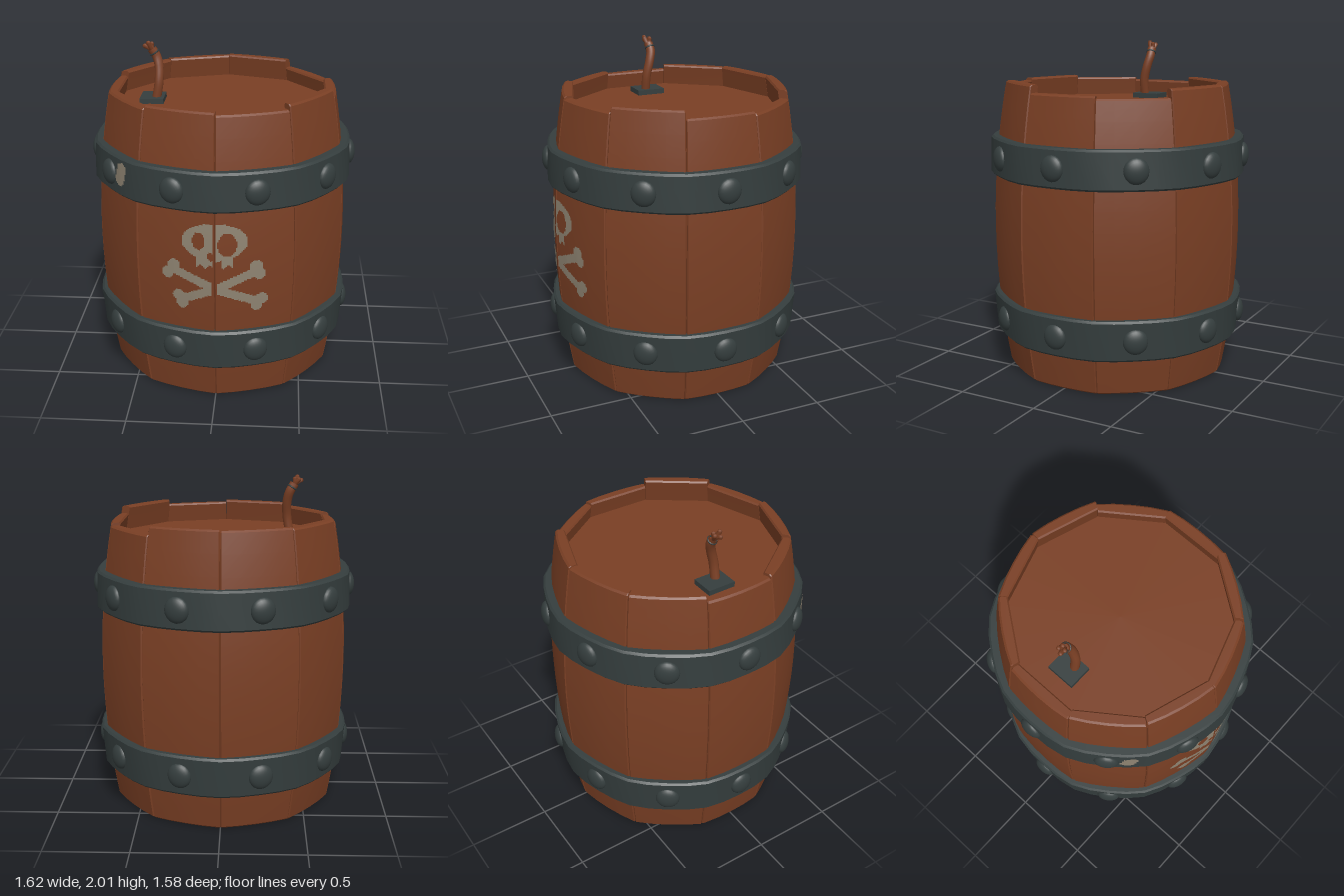
import * as THREE from 'three';
import { toCreasedNormals } from 'three/addons/utils/BufferGeometryUtils.js';

const mat = (name, color, side = THREE.FrontSide) => {
  const m = new THREE.MeshStandardMaterial({ color, side });
  m.name = name;
  return m;
};
const wood = mat('brown wood', 0x7a3f24);
const metal = mat('dark iron', 0x353e3e);
const paint = mat('faded paint', 0x8f8472, THREE.DoubleSide);

const DEG = Math.PI / 180, STEP = 36 * DEG;
// radius factors every 9 degrees, starting at a plank joint
const STAVE = [1.026, 1.007, 1, 1.007];
const HOOP = [1.015, 1.006, 1, 1.006];
// bulging barrel radius at the middle of a stave
const radius = (y) => 0.754 - 0.08 * ((y - 0.88) / 0.88) ** 2;

function build(positions, index) {
  const g = new THREE.BufferGeometry();
  g.setAttribute('position', new THREE.Float32BufferAttribute(positions, 3));
  g.setIndex(index);
  return toCreasedNormals(g.toNonIndexed(), 0.5);
}

// one curved plank with bevelled edges, lofted from bottom to top
function staveGeometry(center, top) {
  const A = 17.9 * DEG, B = 17.4 * DEG, Q = 9 * DEG, bevel = 0.01, pos = [], idx = [];
  const rows = [[0, bevel], [bevel, 0]];
  for (let i = 1; i < 14; i++) rows.push([top * i / 14, 0]);
  rows.push([top - bevel, 0], [top, bevel]);
  for (const [y, inset] of rows) {
    const R = radius(y) - inset, inner = (radius(y) - 0.07 + inset) / Math.cos(A);
    const loop = [
      [inner, -A], [R * 1.015, -A], [R * 1.024, -B], [R * STAVE[1], -Q], [R, 0],
      [R * STAVE[1], Q], [R * 1.024, B], [R * 1.015, A], [inner, A],
    ];
    for (const [r, a] of loop) pos.push(r * Math.sin(a + center), y, r * Math.cos(a + center));
  }
  const n = 9, last = (rows.length - 1) * n;
  for (let i = 0; i < rows.length - 1; i++) {
    for (let j = 0; j < n; j++) {
      const a = i * n + j, b = i * n + (j + 1) % n;
      idx.push(a, b, b + n, a, b + n, a + n);
    }
  }
  for (let j = 1; j < n - 1; j++) idx.push(0, j + 1, j, last, last + j, last + j + 1);
  return build(pos, idx);
}

// hoop that bulges out over the plank joints
function hoopGeometry(y0, y1, r0, r1) {
  const b = 0.012;
  const profile = [[r0 - 0.06, y0], [r0 - b, y0], [r0, y0 + b], [r1, y1 - b], [r1 - b, y1], [r1 - 0.06, y1]];
  const g = new THREE.LatheGeometry(profile.map(([r, y]) => new THREE.Vector2(r, y)), 40);
  const p = g.attributes.position;
  for (let i = 0; i < p.count; i++) {
    const s = HOOP[Math.floor(i / profile.length) % 4];
    p.setXYZ(i, p.getX(i) * s, p.getY(i), p.getZ(i) * s);
  }
  g.deleteAttribute('normal');
  g.deleteAttribute('uv');
  return toCreasedNormals(g.toNonIndexed(), 0.5);
}

// front surface depth at x on a ring with the given radius factors
function facetZ(x, r, factors) {
  const pt = (k) => [r * factors[k % 4] * Math.sin(k * 9 * DEG), r * factors[k % 4] * Math.cos(k * 9 * DEG)];
  const ax = Math.abs(x);
  let k = 0;
  while (k < 8 && pt(k + 1)[0] < ax) k++;
  const [x0, z0] = pt(k), [x1, z1] = pt(k + 1);
  return z0 + (z1 - z0) * (ax - x0) / (x1 - x0);
}

// painted mark: small cells laid on the surface wherever the test holds
function paintGeometry([x0, x1, y0, y1], inside, depth) {
  const s = 0.008, pos = [], idx = [];
  for (let y = y0; y < y1; y += s) {
    for (let x = x0; x < x1; x += s) {
      if (!inside(x + s / 2, y + s / 2)) continue;
      const n = pos.length / 3;
      for (const [px, py] of [[x, y], [x + s, y], [x + s, y + s], [x, y + s]]) pos.push(px, py, depth(px, py));
      idx.push(n, n + 1, n + 2, n, n + 2, n + 3);
    }
  }
  return build(pos, idx);
}

const oval = (x, y, cx, cy, rx, ry) => ((x - cx) / rx) ** 2 + ((y - cy) / ry) ** 2 < 1;
function capsule(x, y, ax, ay, bx, by, r) {
  const dx = bx - ax, dy = by - ay;
  const t = THREE.MathUtils.clamp(((x - ax) * dx + (y - ay) * dy) / (dx * dx + dy * dy), 0, 1);
  return Math.hypot(x - ax - t * dx, y - ay - t * dy) < r;
}

function skullAndBones(x, y) {
  if (Math.abs(x) < 0.009) return false;
  const hole = oval(x, y, -0.09, 1.045, 0.036, 0.052) || oval(x, y, 0.072, 1.025, 0.054, 0.07)
    || oval(x, y, -0.022, 0.955, 0.018, 0.026);
  const head = oval(x, y, 0, 1.04, 0.187, 0.112);
  const jaw = (x < 0 ? x > -0.105 : x > 0.04 && x < 0.105)
    && y > 0.88 + 0.02 * Math.abs(Math.sin(x * 60)) && y < 1;
  if ((head || jaw) && !hole) return true;
  const shafts = Math.abs(x) > 0.016
    && (capsule(x, y, -0.23, 0.85, 0.24, 0.66, 0.027) || capsule(x, y, 0.23, 0.85, -0.19, 0.67, 0.027));
  const knobs = [[-0.235, 0.88], [-0.272, 0.825], [0.235, 0.885], [0.255, 0.835],
    [-0.208, 0.69], [-0.188, 0.645], [0.24, 0.635], [0.268, 0.672]];
  return shafts || knobs.some(([cx, cy]) => Math.hypot(x - cx, y - cy) < 0.036);
}

export function createModel() {
  const model = new THREE.Group();
  model.name = 'barrel';
  const add = (name, geometry, material, parent = model) => {
    const m = new THREE.Mesh(geometry, material);
    m.name = name;
    parent.add(m);
    return m;
  };
  const group = (name) => {
    const g = new THREE.Group();
    g.name = name;
    model.add(g);
    return g;
  };

  // planks of uneven height
  const staves = group('staves');
  [1.755, 1.785, 1.74, 1.725, 1.775, 1.77, 1.765, 1.735, 1.75, 1.768].forEach((top, k) =>
    add('stave', staveGeometry((k + 0.5) * STEP, top), wood, staves));

  // recessed lid and base
  add('lid', new THREE.CylinderGeometry(0.66, 0.66, 0.04, 20), wood).position.y = 1.618;
  add('base', new THREE.CylinderGeometry(0.66, 0.66, 0.04, 20), wood).position.y = 0.125;

  // hoops with domed studs
  const hoops = group('hoops');
  const dome = new THREE.SphereGeometry(1, 20, 8, 0, Math.PI * 2, 0, Math.PI / 2).rotateX(Math.PI / 2).scale(0.073, 0.077, 0.038);
  for (const [name, y0, y1, r0, r1, studY] of [
    ['lowerHoop', 0.226, 0.474, 0.758, 0.776, 0.351],
    ['upperHoop', 1.222, 1.455, 0.78, 0.773, 1.338],
  ]) {
    add(name, hoopGeometry(y0, y1, r0, r1), metal, hoops);
    const r = (r0 + r1) / 2 - 0.004;
    for (let k = 0; k < 10; k++) {
      const a = (k + 0.5) * STEP;
      const stud = add('stud', dome, metal, hoops);
      stud.position.set(r * Math.sin(a), studY, r * Math.cos(a));
      stud.rotation.y = a;
    }
  }

  // painted marks
  add('skullPaint', paintGeometry([-0.32, 0.32, 0.59, 1.17], skullAndBones,
    (x, y) => facetZ(x, radius(y), STAVE) + 0.005), paint);
  add('paintSmear', paintGeometry([-0.6, -0.49, 1.28, 1.44],
    (x, y) => capsule(x, y, -0.556, 1.318, -0.538, 1.4, 0.029),
    (x) => facetZ(x, 0.778, HOOP) + 0.006), paint);

  // fuse on its plate
  const fuse = group('fuse');
  add('fusePlate', new THREE.BoxGeometry(0.145, 0.035, 0.175), metal, fuse).position.set(-0.428, 1.652, -0.002);
  const v = (x, y, z) => new THREE.Vector3(x, y, z);
  const path = new THREE.CatmullRomCurve3([
    v(-0.405, 1.65, 0.02), v(-0.387, 1.76, 0.017), v(-0.387, 1.85, -0.004), v(-0.403, 1.91, -0.018), v(-0.43, 1.955, -0.014),
  ]);
  add('fuseCord', new THREE.TubeGeometry(path, 20, 0.028, 10), wood, fuse);
  const tie = add('fuseTie', new THREE.TorusGeometry(0.026, 0.006, 6, 14), metal, fuse);
  tie.position.copy(path.getPoint(0.87));
  tie.lookAt(tie.position.clone().add(path.getTangent(0.87)));
  // frayed end
  for (const [dx, y, dz] of [[-0.035, 1.978, 0.008], [-0.012, 1.998, 0.018], [0.004, 1.988, -0.012], [-0.02, 1.985, -0.02]]) {
    const strand = new THREE.QuadraticBezierCurve3(v(-0.425, 1.94, -0.015), v(-0.434 + dx / 3, 1.965, -0.013 + dz * 0.8), v(-0.435 + dx, y - 0.005, -0.01 + dz));
    add('fuseStrand', new THREE.TubeGeometry(strand, 6, 0.014, 6), wood, fuse);
    add('strandTip', new THREE.SphereGeometry(0.014, 6, 4), wood, fuse).position.copy(strand.v2);
  }
  return model;
}
